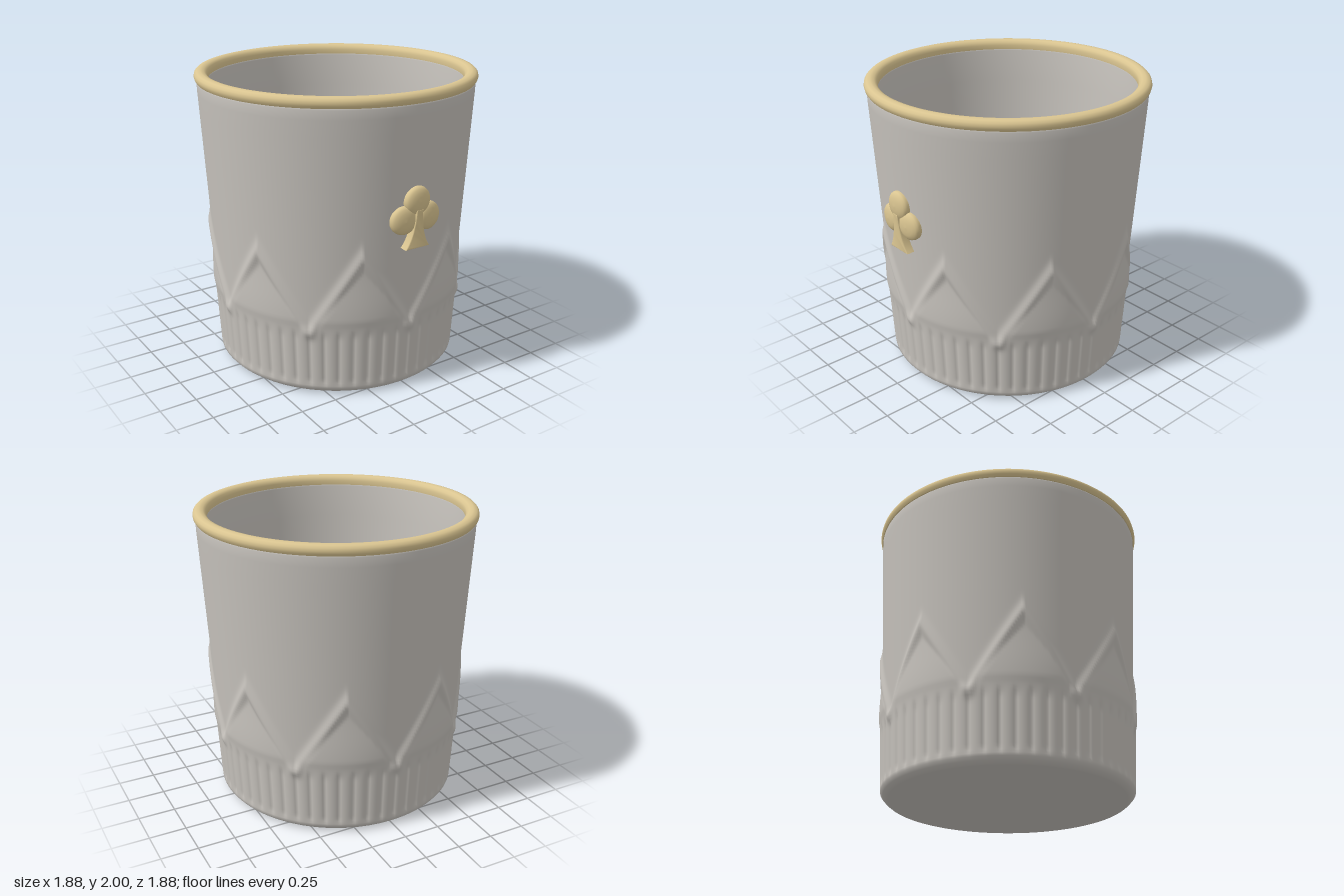
import * as THREE from 'three';
import { mergeVertices, toCreasedNormals } from 'three/addons/utils/BufferGeometryUtils.js';

const smooth = (x, a, b) => THREE.MathUtils.smoothstep(x, a, b);
const wallRadius = (y) => 0.816 + 0.057 * y;
const points = (list) => list.map(([r, y]) => new THREE.Vector2(r, y));

// Height of the moulded pattern: zigzag ridge, swelling panels and vertical flutes
function relief(angle, y) {
  const turn = (((angle / (Math.PI / 4)) % 1) + 1) % 1;
  const t = 1 - Math.abs(2 * turn - 1); // 0 in the valleys, 1 at the peaks
  const crest = 0.44 + 0.53 * t;
  const d = (y - crest) * 0.55;
  const ridge = 0.022 * Math.exp(-((d / 0.034) ** 2)) * smooth(y, 0.36, 0.46);
  const under = 1 - smooth(d, -0.03, 0.03);
  const panel = 0.026 * under * (1 - smooth(y, 0.52, 0.95)) * smooth(y, 0.42, 0.54);
  const band = 1 - smooth(y, 0.42, 0.52);
  const rib = Math.abs(Math.sin(28 * angle)) ** 0.6;
  const fluted = smooth(y, 0.05, 0.1) * (1 - smooth(y, 0.4, 0.48));
  const base = 0.018 * band * smooth(y, 0.0, 0.05) - 0.014 * (1 - rib) * fluted;
  return Math.max(ridge, panel) + base;
}

// Joins the lathe seam so that the shading runs on smoothly
function weld(geometry) {
  geometry.deleteAttribute('uv');
  geometry.deleteAttribute('normal');
  const welded = mergeVertices(geometry, 1e-5);
  welded.computeVertexNormals();
  return welded;
}

function makeBody() {
  const profile = [[0, 0], [0.6, 0], [0.78, 0], [0.798, 0.004], [0.812, 0.02], [0.819, 0.04]];
  for (let y = 0.06; y < 1.13; y += 0.02) profile.push([wallRadius(y), y]);
  for (const y of [1.3, 1.55, 1.75, 1.86]) profile.push([wallRadius(y), y]);
  profile.push([0.924, 1.92], [0.915, 1.94], [0.868, 1.94], [0.856, 1.92]);
  profile.push([0.84, 1.7], [0.8, 1.05], [0.76, 0.4], [0.748, 0.22], [0.735, 0.165], [0.7, 0.135], [0.62, 0.125], [0.3, 0.12], [0, 0.12]);
  const geometry = new THREE.LatheGeometry(points(profile), 448);
  const p = geometry.attributes.position;
  for (let i = 0; i < p.count; i++) {
    const x = p.getX(i), y = p.getY(i), z = p.getZ(i);
    const r = Math.hypot(x, z);
    // Only the outer wall is moulded
    if (r < wallRadius(y) - 0.012 || y < 0.01 || y > 1.14) continue;
    const k = (r + relief(Math.atan2(x, z), y)) / r;
    p.setXYZ(i, x * k, y, z * k);
  }
  return weld(geometry);
}

function makeRim() {
  const profile = [
    [0.853, 1.93], [0.926, 1.93], [0.936, 1.945], [0.94, 1.962], [0.936, 1.98], [0.922, 1.994],
    [0.897, 2], [0.872, 1.994], [0.856, 1.98], [0.85, 1.96], [0.853, 1.93],
  ];
  return toCreasedNormals(weld(new THREE.LatheGeometry(points(profile), 128)), 0.9);
}

// Low domed disc facing +z
function makeLobe() {
  const profile = [[0.09, -0.03], [0.094, 0.01], [0.09, 0.025], [0.078, 0.037], [0.055, 0.046], [0.028, 0.05], [0, 0.052]];
  return new THREE.LatheGeometry(points(profile), 40).rotateX(Math.PI / 2);
}

// Flared foot of the emblem
function makeStem() {
  const s = new THREE.Shape();
  s.moveTo(-0.09, 1.015);
  s.lineTo(0.09, 1.015);
  s.quadraticCurveTo(0.03, 1.09, 0.022, 1.27);
  s.lineTo(-0.022, 1.27);
  s.quadraticCurveTo(-0.03, 1.09, -0.09, 1.015);
  const g = new THREE.ExtrudeGeometry(s, {
    depth: 0.055, curveSegments: 10, bevelEnabled: true, bevelThickness: 0.008, bevelSize: 0.006, bevelOffset: -0.004, bevelSegments: 3,
  });
  return toCreasedNormals(g, 0.6);
}

export function createModel() {
  const stone = new THREE.MeshStandardMaterial({ color: 0xc6c2bc });
  stone.name = 'warm grey';
  const gold = new THREE.MeshStandardMaterial({ color: 0xdac591 });
  gold.name = 'pale gold';

  const model = new THREE.Group();
  model.name = 'tumbler';
  const add = (parent, name, geometry, material) => {
    const mesh = new THREE.Mesh(geometry, material);
    mesh.name = name;
    parent.add(mesh);
    return mesh;
  };
  add(model, 'body', makeBody(), stone);
  add(model, 'rim', makeRim(), gold);

  // Three-lobed emblem on the front wall
  const emblem = new THREE.Group();
  emblem.name = 'emblem';
  model.add(emblem);
  const lobe = makeLobe();
  for (const [name, x, y] of [['topLobe', 0, 1.317], ['leftLobe', 0.091, 1.2], ['rightLobe', -0.091, 1.2]]) {
    const mesh = add(emblem, name, lobe, gold);
    const r = wallRadius(y);
    mesh.position.set(x, y, Math.sqrt(r * r - x * x));
    mesh.rotation.y = x / r;
  }
  const stem = add(emblem, 'stem', makeStem(), gold);
  stem.rotation.x = 0.057;
  stem.position.set(0, 0, wallRadius(0) - 0.012);
  return model;
}
